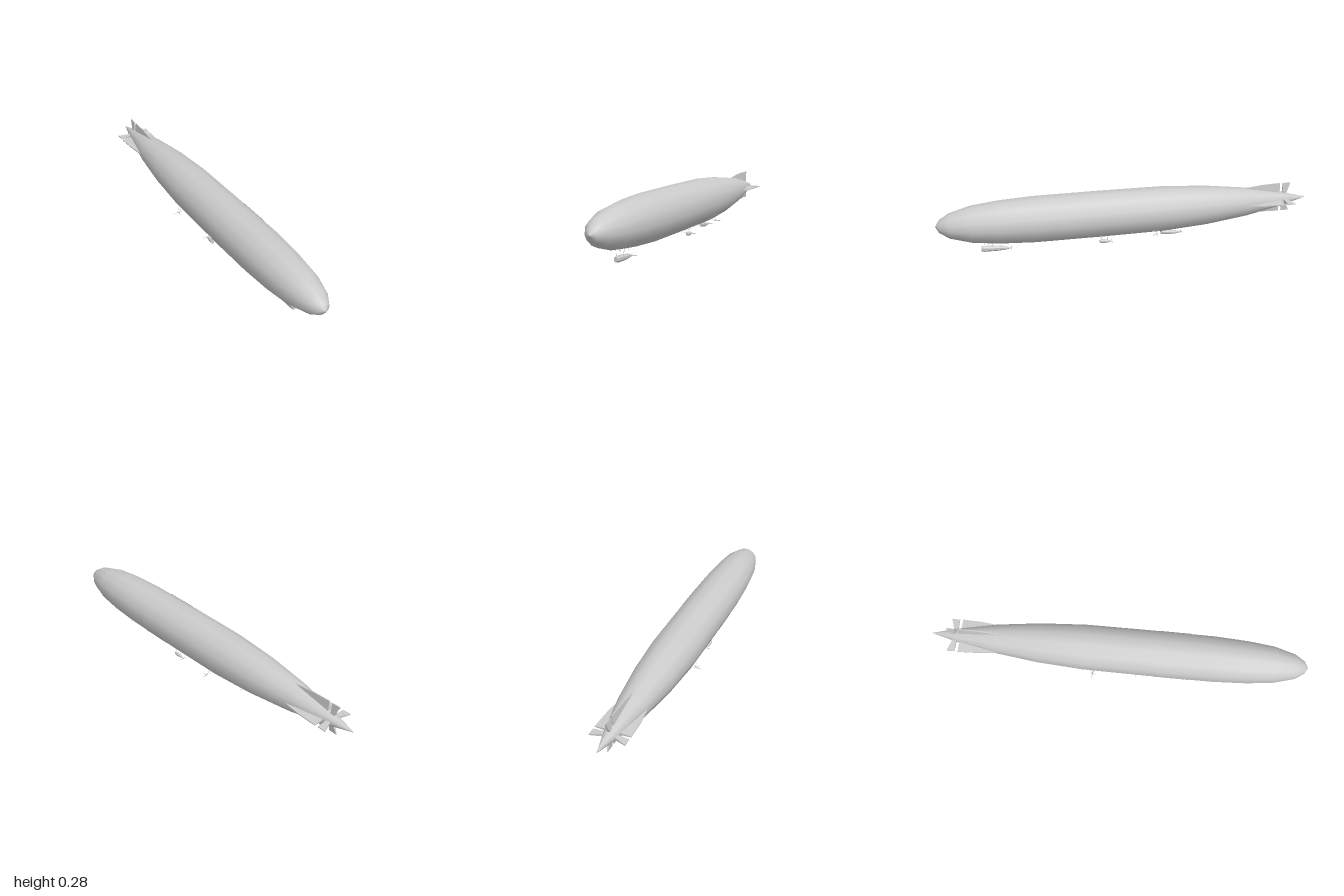
import * as THREE from 'three';

const AXIS = 0.165; // height of the hull's centre line
const STEP = (Math.PI * 2) / 13; // the hull has thirteen sides

const smooth = new THREE.MeshStandardMaterial({ color: 0xcccccc, side: THREE.DoubleSide });
const flat = new THREE.MeshStandardMaterial({ color: 0xcccccc, flatShading: true, side: THREE.DoubleSide });

function add(parent, name, geometry, material = flat) {
  const mesh = new THREE.Mesh(geometry, material);
  mesh.name = name;
  parent.add(mesh);
  return mesh;
}

// Lathe lying along z, in pairs [z, radius] from tail to nose
function latheZ(pairs, sides, start = 0, length = Math.PI * 2) {
  const points = pairs.map(([z, r]) => new THREE.Vector2(r, z));
  return new THREE.LatheGeometry(points, sides, start, length).rotateX(Math.PI / 2);
}

// Thin rod between two points
function strut(parent, a, b, r = 0.0007) {
  const from = new THREE.Vector3(...a), to = new THREE.Vector3(...b);
  const dir = to.clone().sub(from);
  const mesh = add(parent, 'strut', new THREE.CylinderGeometry(r, r, dir.length(), 5));
  mesh.position.copy(from).add(to).multiplyScalar(0.5);
  mesh.quaternion.setFromUnitVectors(new THREE.Vector3(0, 1, 0), dir.normalize());
}

// Car body lofted from octagons: [z, half width, bottom, top], tail to front
function carGeometry(sections) {
  const pos = [], index = [], n = 8, last = sections.length - 1;
  for (const [z, w, low, high] of sections) {
    for (let i = 0; i < n; i++) {
      const a = ((i + 0.5) / n) * Math.PI * 2;
      pos.push(w * 1.08 * Math.cos(a), (low + high) / 2 + ((high - low) / 2) * 1.08 * Math.sin(a), z);
    }
  }
  for (let s = 0; s < last; s++) {
    for (let i = 0; i < n; i++) {
      const a = s * n + i, b = s * n + ((i + 1) % n);
      index.push(a, b, b + n, a, b + n, a + n);
    }
  }
  for (let i = 1; i < n - 1; i++) {
    index.push(0, i + 1, i, last * n, last * n + i, last * n + i + 1);
  }
  const g = new THREE.BufferGeometry();
  g.setAttribute('position', new THREE.Float32BufferAttribute(pos, 3));
  g.setIndex(index);
  g.computeVertexNormals();
  return g;
}

// Two-bladed propeller with a small hub
function propeller(parent, x, y, z, radius) {
  const group = new THREE.Group();
  group.name = 'propeller';
  group.position.set(x, y, z);
  add(group, 'hub', latheZ([[-0.006, 0], [-0.002, 0.0025], [0.006, 0.002], [0.006, 0]], 8));
  for (const side of [-1, 1]) {
    const blade = add(group, 'blade', new THREE.BoxGeometry(radius, 0.003, 0.0015));
    blade.position.x = (side * radius) / 2;
    blade.rotation.x = side * 0.5;
  }
  parent.add(group);
}

// Tail surface outlined in (z, distance from axis), thinner toward the tip
function finGeometry(outline) {
  const shape = new THREE.Shape(outline.map(([z, d]) => new THREE.Vector2(-z, d)));
  const g = new THREE.ExtrudeGeometry(shape, { depth: 1, bevelEnabled: false });
  g.translate(0, 0, -0.5).rotateY(Math.PI / 2);
  const p = g.attributes.position;
  for (let i = 0; i < p.count; i++) {
    p.setX(i, p.getX(i) * (0.014 - 0.15 * (p.getY(i) - 0.03)));
  }
  g.computeVertexNormals();
  return g;
}

export function createModel() {
  const model = new THREE.Group();
  model.name = 'airship';

  // Hull
  const hull = add(model, 'hull', latheZ([
    [-1, 0], [-0.86, 0.036], [-0.65, 0.077], [-0.42, 0.105], [-0.18, 0.12], [0.15, 0.122], [0.5, 0.121],
    [0.68, 0.112], [0.82, 0.096], [0.93, 0.065], [0.98, 0.033], [1, 0],
  ], 13), smooth);
  hull.position.y = AXIS;

  // Slightly raised panel on each flank
  for (const start of [2, 8]) {
    const panel = add(model, 'sidePanel', latheZ([[0.2, 0.1232], [0.38, 0.1229]], 3, start * STEP, 3 * STEP), smooth);
    panel.position.y = AXIS;
  }

  // Four tail fins with hinged rudders and elevators; the lower one is shorter
  const fin = finGeometry([[-0.62, 0.074], [-0.74, 0.088], [-0.845, 0.092], [-0.845, 0.025], [-0.7, 0.045]]);
  const flap = finGeometry([[-0.862, 0.09], [-0.905, 0.091], [-0.885, 0.035], [-0.88, 0.025], [-0.862, 0.028]]);
  for (let i = 0; i < 4; i++) {
    const tail = new THREE.Group();
    tail.name = i % 2 ? 'horizontalFin' : 'verticalFin';
    add(tail, 'fin', fin);
    add(tail, i % 2 ? 'elevator' : 'rudder', flap);
    tail.position.y = AXIS;
    tail.rotation.z = (i * Math.PI) / 2;
    if (i === 2) tail.scale.y = 0.77;
    model.add(tail);
  }

  // Front control car
  add(model, 'frontCar', carGeometry([
    [0.63, 0.002, 0.008, 0.014], [0.66, 0.009, 0.005, 0.024],
    [0.7, 0.012, 0.003, 0.03], [0.765, 0.012, 0.004, 0.034], [0.78, 0.009, 0.008, 0.033],
  ]));
  propeller(model, 0, 0.011, 0.625, 0.024);

  // Rear engine car
  add(model, 'rearCar', carGeometry([
    [-0.29, 0.002, 0.014, 0.02], [-0.26, 0.009, 0.011, 0.027],
    [-0.22, 0.012, 0.011, 0.035], [-0.19, 0.012, 0.014, 0.038], [-0.178, 0.008, 0.018, 0.037],
  ]));
  propeller(model, 0, 0.017, -0.295, 0.024);

  for (const s of [-1, 1]) {
    // Struts carrying the centre-line cars
    for (const z of [0.68, 0.72, 0.76]) strut(model, [s * 0.007, 0.026, z], [s * 0.011, 0.07, z]);
    for (const z of [-0.24, -0.195]) strut(model, [s * 0.007, 0.03, z], [s * 0.012, 0.05, z]);

    // Side engine cars
    const car = add(model, 'sideCar', carGeometry([
      [0.108, 0.002, 0.031, 0.035], [0.125, 0.007, 0.028, 0.043],
      [0.15, 0.009, 0.026, 0.047], [0.162, 0.008, 0.028, 0.047], [0.168, 0.005, 0.032, 0.044],
    ]));
    car.position.x = s * 0.071;
    propeller(model, s * 0.071, 0.032, 0.103, 0.02);
    for (const z of [0.125, 0.158]) {
      strut(model, [s * 0.071, 0.044, z], [s * 0.078, 0.08, z]);
      strut(model, [s * 0.066, 0.04, z], [s * 0.03, 0.053, z]);
    }

    // Outrigger propellers on strut frames
    const hub = [s * 0.112, 0.066, -0.13];
    propeller(model, ...hub, 0.022);
    for (const z of [-0.145, -0.115]) {
      strut(model, hub, [s * 0.098, 0.1, z]);
      strut(model, hub, [s * 0.075, 0.078, z]);
    }
    strut(model, [s * 0.112, 0.066, -0.13], [s * 0.112, 0.066, -0.11], 0.002);
  }
  return model;
}
